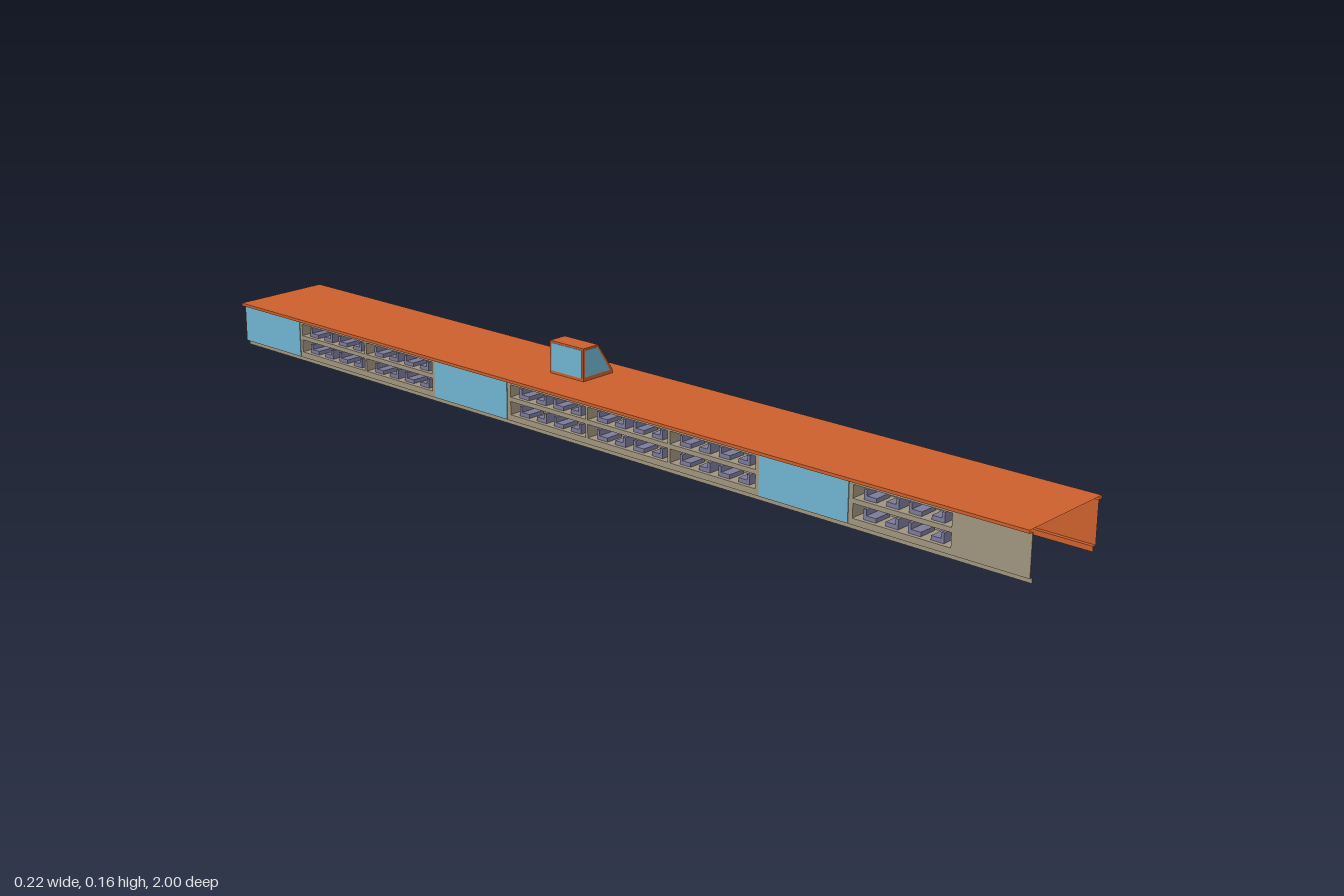
import * as THREE from 'three';

const paint = (name, color, side = THREE.FrontSide) => {
  const m = new THREE.MeshStandardMaterial({ color, side });
  m.name = name;
  return m;
};

export function createModel() {
  const orange = paint('orange', 0xcc5f2c, THREE.DoubleSide);
  const beige = paint('beige', 0xa0957f);
  const blue = paint('glassBlue', 0x70b4d0);
  const purple = paint('seatPurple', 0x7b7a99);
  const model = new THREE.Group();

  const add = (name, geo, mat, parent = model) => {
    const m = new THREE.Mesh(geo, mat);
    m.name = name;
    parent.add(m);
    return m;
  };
  // box given by its limits on each axis
  const box = (name, mat, [x0, x1], [y0, y1], [z0, z1], parent) =>
    add(name, new THREE.BoxGeometry(x1 - x0, y1 - y0, z1 - z0), mat, parent)
      .position.set((x0 + x1) / 2, (y0 + y1) / 2, (z0 + z1) / 2);
  // open profile in x and y, drawn out along the whole length
  const ribbon = (name, mat, pts) => {
    const pos = [];
    for (let i = 0; i + 1 < pts.length; i++) {
      const [a, b] = [pts[i], pts[i + 1]];
      pos.push(...a, 1, ...b, 1, ...b, -1, ...a, 1, ...b, -1, ...a, -1);
    }
    const g = new THREE.BufferGeometry();
    g.setAttribute('position', new THREE.Float32BufferAttribute(pos, 3));
    g.computeVertexNormals();
    return add(name, g, mat);
  };
  const polygon = pts => new THREE.Shape(pts.map(p => new THREE.Vector2(...p)));
  const rect = (x0, x1, y0, y1) => [[x0, y0], [x1, y0], [x1, y1], [x0, y1]];

  // roof with a shallow lip, and the closed right wall with its inset foot
  ribbon('roof', orange, [[0.1, 0.09], [0.109, 0.09], [0.109, 0.096],
    [-0.109, 0.096], [-0.109, 0.09], [-0.1, 0.09]]);
  ribbon('rightWall', orange, [[0.092, 0], [0.092, 0.01], [0.1, 0.01], [0.1, 0.09]]);

  // left wall with an opening for every compartment on two levels
  const levels = [[0.021, 0.05], [0.057, 0.084]];
  const length = 0.206;
  const bays = [-0.81, -0.604, -0.18, 0.026, 0.232, 0.645];
  const wall = polygon(rect(-1, 1, 0.01, 0.09));
  for (const z of bays) for (const [y0, y1] of levels) {
    wall.holes.push(polygon(rect(-z - length + 0.003, -z - 0.003, y0 + 0.001, y1 - 0.001)));
  }
  const leftWall = add('leftWall',
    new THREE.ExtrudeGeometry(wall, { depth: 0.002, bevelEnabled: false }), beige);
  leftWall.rotation.y = Math.PI / 2;
  leftWall.position.x = -0.1;
  ribbon('leftFootLedge', beige, [[-0.1, 0.01], [-0.092, 0.01]]);
  box('leftFoot', beige, [-0.093, -0.092], [0, 0.01], [-1, 1]);

  // blue door panels on the left wall
  for (const [z0, z1] of [[-1, -0.81], [-0.396, -0.182], [0.44, 0.643]]) {
    box('door', blue, [-0.1015, -0.1], [0.012, 0.088], [z0 + 0.004, z1 - 0.004]);
  }

  // compartments, open at their forward end, with rows of seats
  const t = 0.001;
  for (const z of bays) for (const [y0, y1] of levels) {
    const bay = new THREE.Group();
    bay.name = 'compartment';
    model.add(bay);
    const X = [-0.098, -0.046], Z = [z + 0.001, z + length - 0.001];
    box('compartmentFloor', beige, X, [y0, y0 + t], Z, bay);
    box('compartmentCeiling', beige, X, [y1 - t, y1], Z, bay);
    box('compartmentBack', beige, [X[1] - t, X[1]], [y0, y1], Z, bay);
    box('compartmentEnd', beige, X, [y0, y1], [Z[0], Z[0] + t], bay);
    for (let i = 0; i < 4; i++) {
      const s = z + 0.02 + i * 0.046;
      const facing = i % 2 ? 1 : 0;
      box('seatCushion', purple, [-0.092, -0.053], [y0 + t, y0 + 0.009], [s, s + 0.026], bay);
      box('seatBack', purple, [-0.092, -0.053], [y0 + t, y0 + 0.02],
        facing ? [s + 0.02, s + 0.026] : [s, s + 0.006], bay);
    }
  }

  // lookout cabin on the roof
  const cabin = new THREE.Group();
  cabin.name = 'cabin';
  model.add(cabin);
  const z0 = -0.147, z1 = -0.058;
  const body = polygon([[-0.02, 0.096], [0.062, 0.096], [0.062, 0.104], [0.021, 0.162], [-0.02, 0.162]]);
  add('cabinBody', new THREE.ExtrudeGeometry(body, { depth: z1 - z0, bevelEnabled: false }),
    orange, cabin).position.z = z0;

  // cabin windows: two sides, the rear and the sloping front
  const pane = polygon([[-0.016, 0.104], [0.054, 0.104], [0.0185, 0.158], [-0.016, 0.158]]);
  for (const z of [z0 - 0.001, z1]) {
    add('cabinSideWindow', new THREE.ExtrudeGeometry(pane, { depth: 0.001, bevelEnabled: false }),
      blue, cabin).position.z = z;
  }
  box('cabinRearWindow', blue, [-0.021, -0.02], [0.102, 0.158], [z0 + 0.004, z1 - 0.004], cabin);
  const slope = Math.hypot(0.041, 0.058);
  const windscreen = add('cabinWindscreen',
    new THREE.BoxGeometry(slope - 0.008, 0.002, z1 - z0 - 0.008), blue, cabin);
  windscreen.position.set(0.0415, 0.133, (z0 + z1) / 2);
  windscreen.rotation.z = -Math.atan2(0.058, 0.041);

  return model;
}
